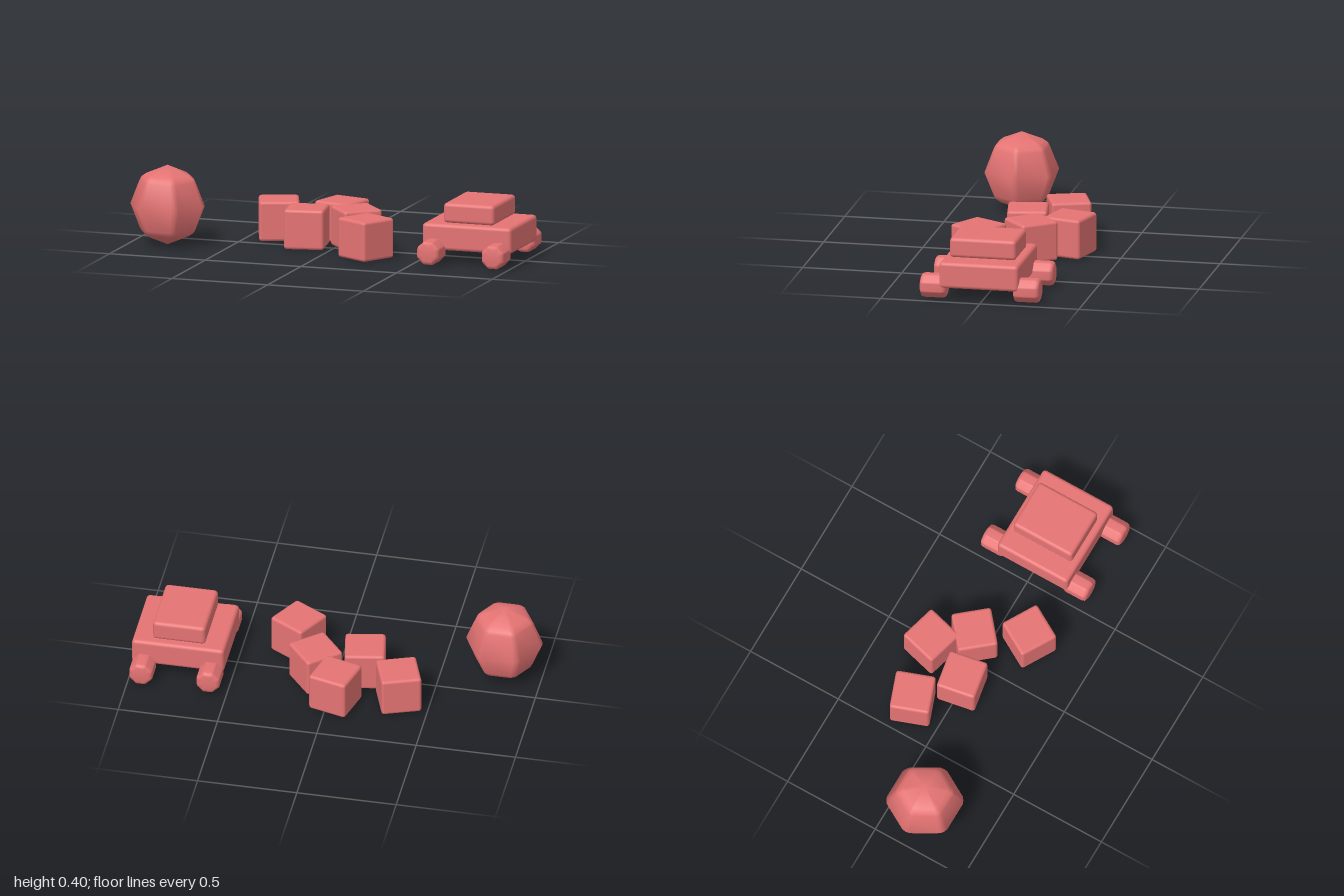
import * as THREE from 'three';
import { mergeVertices } from 'three/addons/utils/BufferGeometryUtils.js';
import { RoundedBoxGeometry } from 'three/addons/geometries/RoundedBoxGeometry.js';

const red = new THREE.MeshStandardMaterial({ color: 0xe57373 });

function add(parent, name, geometry, x, y, z, turn = 0) {
  const mesh = new THREE.Mesh(geometry, red);
  mesh.name = name;
  mesh.position.set(x, y, z);
  mesh.rotation.y = THREE.MathUtils.degToRad(turn);
  parent.add(mesh);
  return mesh;
}

// Polygonal lathe whose lengthwise edges are softened by three points per corner
function softPrism(profile, sides, firstCorner, softness) {
  const points = profile.map(([r, y]) => new THREE.Vector2(r, y));
  const lathe = new THREE.LatheGeometry(points, sides * 3);
  const pos = lathe.attributes.position;
  const half = Math.PI / sides;
  const shrink = Math.cos(half) / Math.cos(half - softness);
  for (let i = 0; i < pos.count; i++) {
    const column = Math.floor(i / points.length) % (sides * 3);
    const { x: r, y } = points[i % points.length];
    const step = (column % 3) - 1;
    const angle = firstCorner + Math.floor(column / 3) * half * 2 + step * softness;
    const radius = r * shrink * (step === 0 ? 1.008 : 1);
    pos.setXYZ(i, radius * Math.sin(angle), y, radius * Math.cos(angle));
  }
  lathe.deleteAttribute('uv');
  lathe.deleteAttribute('normal');
  const geometry = mergeVertices(lathe, 1e-5);
  geometry.computeVertexNormals();
  return geometry;
}

export function createModel() {
  const model = new THREE.Group();
  model.name = 'toys';

  // Six-sided ball with softened edges
  const upper = [[0.199, 0], [0.15, 0.118], [0.141, 0.135], [0.117, 0.152], [0, 0.2]];
  const ballProfile = [...upper.slice(1).reverse().map(([r, y]) => [r, -y]), ...upper];
  const ball = softPrism(ballProfile, 6, Math.PI / 6, 0.105);
  add(model, 'ball', ball, -0.81, 0.202, 0.173);

  // Scattered building blocks: x, z, turn in degrees
  const blocks = new THREE.Group();
  blocks.name = 'blocks';
  model.add(blocks);
  const blockGeometry = new RoundedBoxGeometry(0.2, 0.2, 0.2, 2, 0.015);
  [
    [-0.345, -0.165, 20],
    [-0.04, -0.235, -15],
    [-0.143, 0, 10],
    [0.093, -0.066, 40],
    [0.225, 0.17, -30],
  ].forEach(([x, z, turn], i) => add(blocks, `block${i + 1}`, blockGeometry, x, 0.102, z, turn));

  // Toy car
  const car = new THREE.Group();
  car.name = 'car';
  car.position.set(0.763, 0, 0.008);
  model.add(car);
  add(car, 'carBody', new RoundedBoxGeometry(0.465, 0.132, 0.4, 2, 0.018), 0, 0.135, 0);
  add(car, 'carCabin', new RoundedBoxGeometry(0.265, 0.1, 0.335, 2, 0.018), 0, 0.252, 0);

  // Eight-sided wheels with rounded rims, axles along z
  const wheel = softPrism(
    [[0, -0.066], [0.044, -0.066], [0.058, -0.06], [0.063, -0.046],
      [0.063, 0.046], [0.058, 0.06], [0.044, 0.066], [0, 0.066]],
    8, Math.PI / 8, 0.09);
  wheel.rotateX(Math.PI / 2);
  for (const x of [-0.17, 0.168])
    for (const z of [-0.235, 0.235])
      add(car, `${z > 0 ? 'front' : 'back'}${x > 0 ? 'Left' : 'Right'}Wheel`, wheel, x, 0.068, z);

  return model;
}
